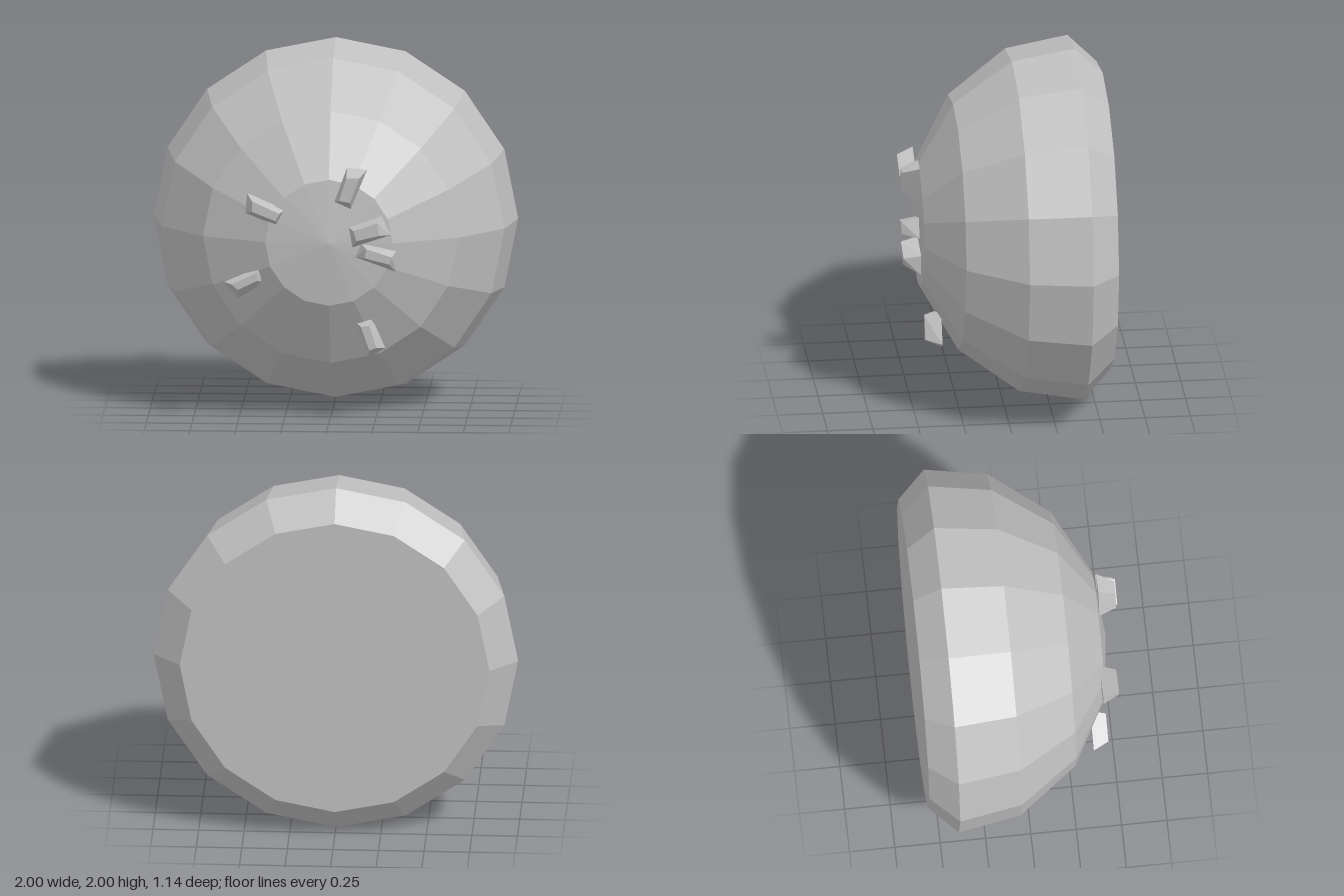
import * as THREE from 'three';
import { ConvexGeometry } from 'three/addons/geometries/ConvexGeometry.js';

export function createModel() {
  const model = new THREE.Group();
  model.name = 'studdedDome';
  const grey = new THREE.MeshStandardMaterial({ color: 0xc0c0c0, flatShading: true });
  grey.name = 'stone grey';

  // Dome: 16-sided profile (radius, depth) turned to face the front, with a flat back
  const profile = [[0, -0.57], [0.85, -0.57], [1, -0.415], [0.94, -0.07], [0.7, 0.255], [0.35, 0.45], [0, 0.49]]
    .map(([r, z]) => new THREE.Vector2(r, z));
  const dome = new THREE.Mesh(new THREE.LatheGeometry(profile, 16).rotateX(Math.PI / 2), grey);
  dome.name = 'dome';
  dome.position.y = 1;
  model.add(dome);

  // Tapered chips: base and top corners (x, y), going round, with their depths
  const chips = [
    { z: [0.46, 0.555], base: [[0.1, 1.42], [0.21, 1.41], [0.12, 1.19], [0.03, 1.23]],
      top: [[0.1, 1.375], [0.17, 1.375], [0.12, 1.24], [0.06, 1.25]] },
    { z: [0.43, 0.52], base: [[-0.45, 1.27], [-0.24, 1.18], [-0.29, 1.09], [-0.46, 1.16]],
      top: [[-0.42, 1.24], [-0.27, 1.17], [-0.29, 1.13], [-0.42, 1.18]] },
    { z: [0.475, 0.57], base: [[0.11, 1.09], [0.29, 1.155], [0.34, 1.05], [0.13, 0.98]],
      top: [[0.14, 1.085], [0.27, 1.13], [0.28, 1.06], [0.155, 1.03]] },
    { z: [0.47, 0.565], base: [[0.18, 1], [0.37, 0.96], [0.37, 0.845], [0.145, 0.925]],
      top: [[0.21, 0.985], [0.35, 0.94], [0.335, 0.9], [0.2, 0.935]] },
    { z: [0.365, 0.45], base: [[-0.58, 0.765], [-0.38, 0.85], [-0.36, 0.765], [-0.5, 0.675]],
      top: [[-0.535, 0.765], [-0.395, 0.83], [-0.395, 0.785], [-0.5, 0.735]] },
    { z: [0.345, 0.435], base: [[0.14, 0.545], [0.23, 0.57], [0.305, 0.4], [0.21, 0.35]],
      top: [[0.175, 0.53], [0.22, 0.54], [0.26, 0.415], [0.22, 0.4]] },
  ];
  const ring = (corners, z) => corners.map(([x, y]) => new THREE.Vector3(x, y, z));
  chips.forEach(({ z, base, top }, i) => {
    const chip = new THREE.Mesh(new ConvexGeometry([...ring(base, z[0]), ...ring(top, z[1])]), grey);
    chip.name = `chip${i + 1}`;
    model.add(chip);
  });
  return model;
}
